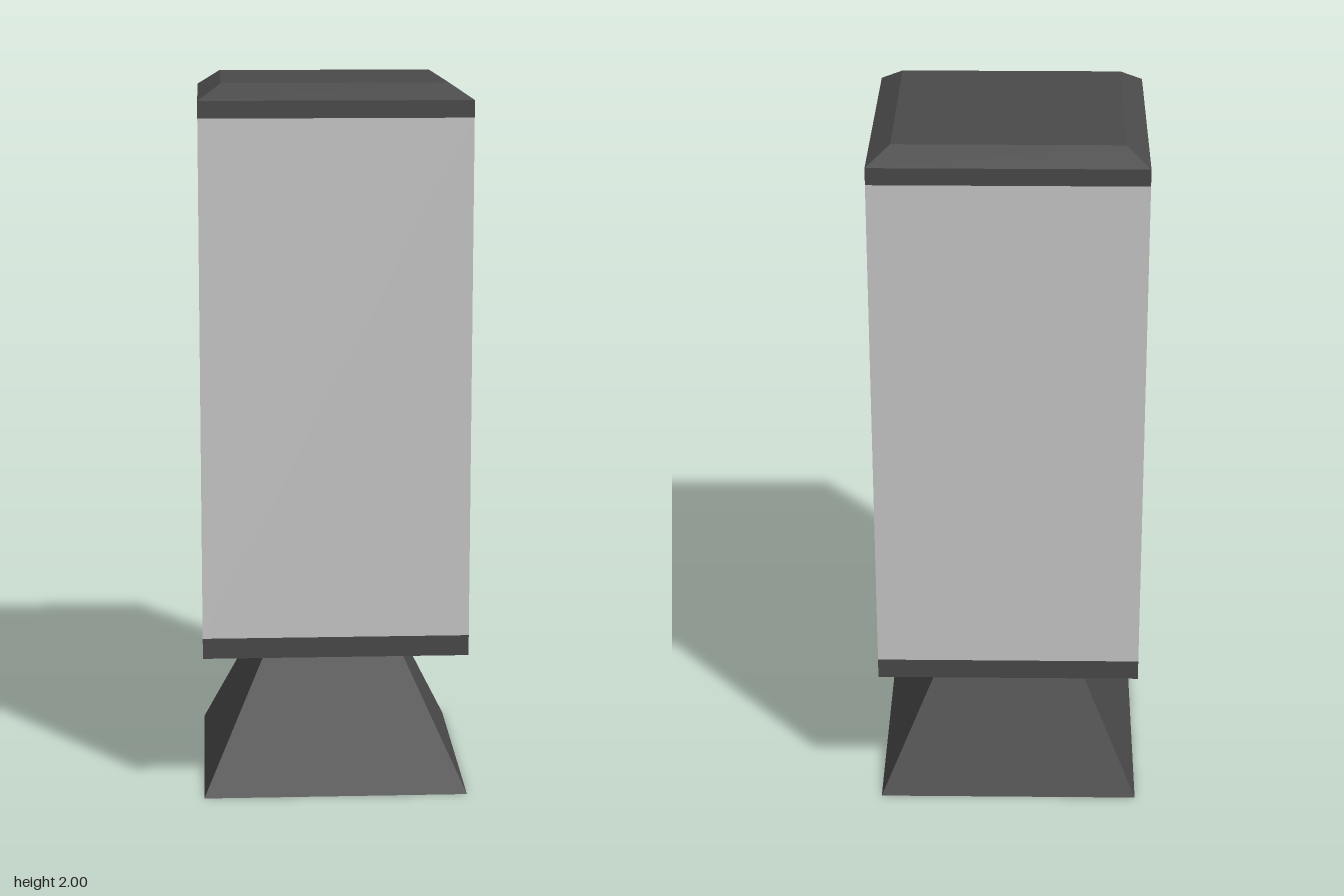
import * as THREE from 'three';

// Square frustum between two heights, given half-widths at bottom and top
function squareFrustum(halfBottom, halfTop, y0, y1, openEnded = false) {
  const geo = new THREE.CylinderGeometry(
    halfTop * Math.SQRT2, halfBottom * Math.SQRT2, y1 - y0, 4, 1, openEnded
  );
  geo.rotateY(Math.PI / 4);
  geo.translate(0, (y0 + y1) / 2, 0);
  const flat = geo.toNonIndexed();
  flat.computeVertexNormals();
  return flat;
}

export function createModel() {
  const group = new THREE.Group();
  const darkMetal = new THREE.MeshStandardMaterial({ color: 0x4a4a4a });
  darkMetal.name = 'darkMetal';
  const paleGlass = new THREE.MeshStandardMaterial({ color: 0xc9c9c9 });
  paleGlass.name = 'paleGlass';

  // name, half-width at bottom, half-width at top, bottom y, top y, material
  const parts = [
    ['foot', 0.372, 0.198, 0, 0.367, darkMetal],
    ['lowerTaper', 0.198, 0.372, 0.367, 0.41, darkMetal],
    ['lowerBand', 0.372, 0.372, 0.41, 0.468, darkMetal],
    ['lampBody', 0.372, 0.372, 0.468, 1.91, paleGlass],
    ['upperBand', 0.372, 0.372, 1.91, 1.957, darkMetal],
    ['bevelledCap', 0.372, 0.308, 1.957, 2, darkMetal],
  ];

  for (const [name, halfBottom, halfTop, y0, y1, material] of parts) {
    // Stacked tiers are closed by their neighbours; only the ends need caps
    const open = name !== 'foot' && name !== 'bevelledCap';
    const mesh = new THREE.Mesh(squareFrustum(halfBottom, halfTop, y0, y1, open), material);
    mesh.name = name;
    group.add(mesh);
  }
  return group;
}
